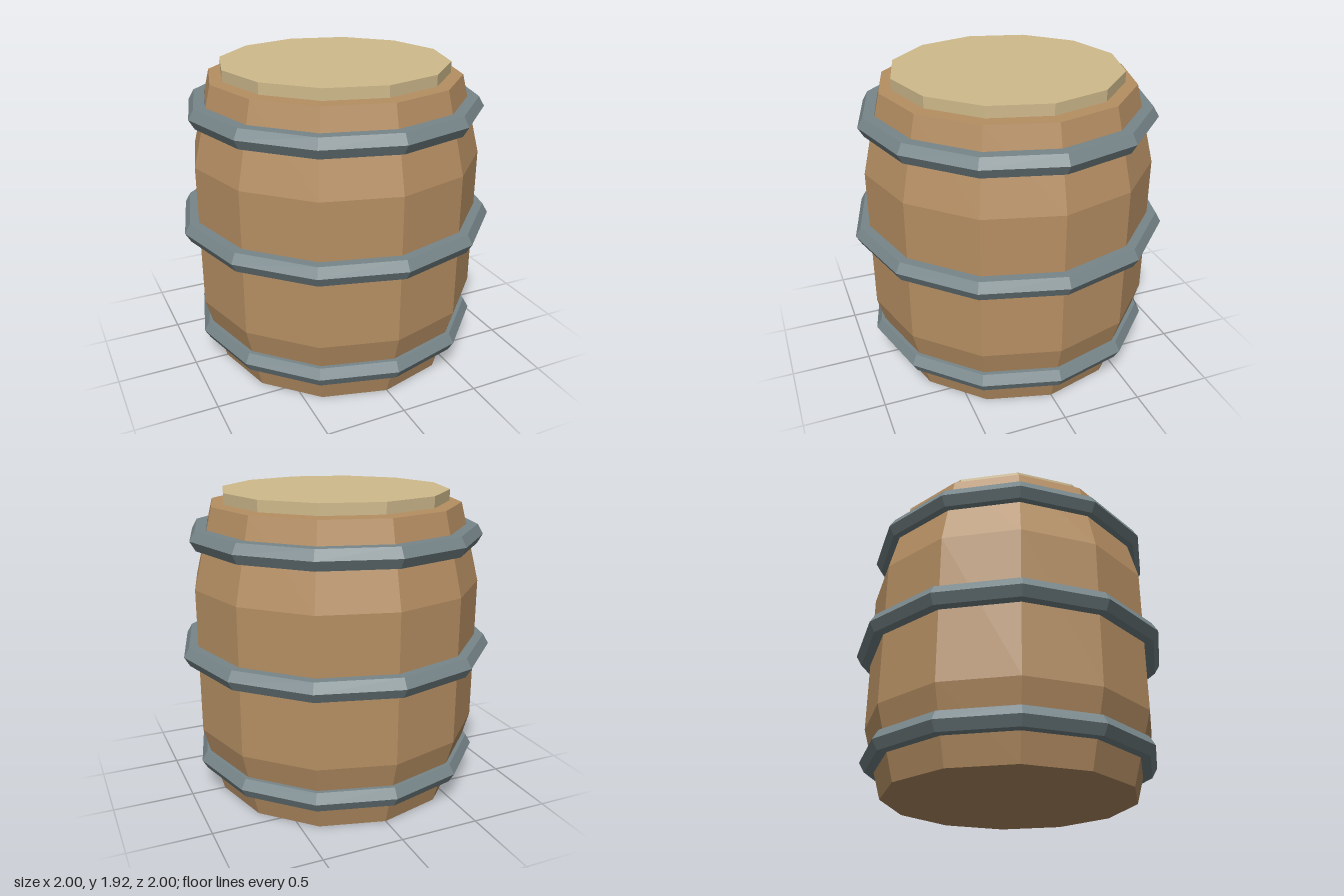
import * as THREE from 'three';

const SIDES = 12;

function makeMaterial(name, color) {
  const material = new THREE.MeshStandardMaterial({ color, flatShading: true });
  material.name = name;
  return material;
}

export function createModel() {
  const wood = makeMaterial('wood', 0xb68f63);
  const paleWood = makeMaterial('paleWood', 0xd0ba8c);
  const iron = makeMaterial('iron', 0x77868a);

  const barrel = new THREE.Group();
  barrel.name = 'barrel';

  function add(name, geometry, material, y = 0) {
    const mesh = new THREE.Mesh(geometry, material);
    mesh.name = name;
    mesh.position.y = y;
    barrel.add(mesh);
  }

  // Bulging body, closed at both ends
  const profile = [[0, 0], [0.785, 0], [0.907, 0.44], [0.907, 1.352], [0.785, 1.84], [0, 1.84]]
    .map(([r, y]) => new THREE.Vector2(r, y));
  add('body', new THREE.LatheGeometry(profile, SIDES), wood);

  // Lid, resting just above the rim
  add('lid', new THREE.CylinderGeometry(0.71, 0.71, 0.068, SIDES), paleWood, 1.883);

  // Hoops with a six-sided section
  const hoops = [['bottomHoop', 0.855, 0.225], ['middleHoop', 0.93, 0.938], ['topHoop', 0.855, 1.647]];
  for (const [name, radius, y] of hoops) {
    add(name, new THREE.TorusGeometry(radius, 0.069, 6, SIDES).rotateX(Math.PI / 2), iron, y);
  }

  return barrel;
}
